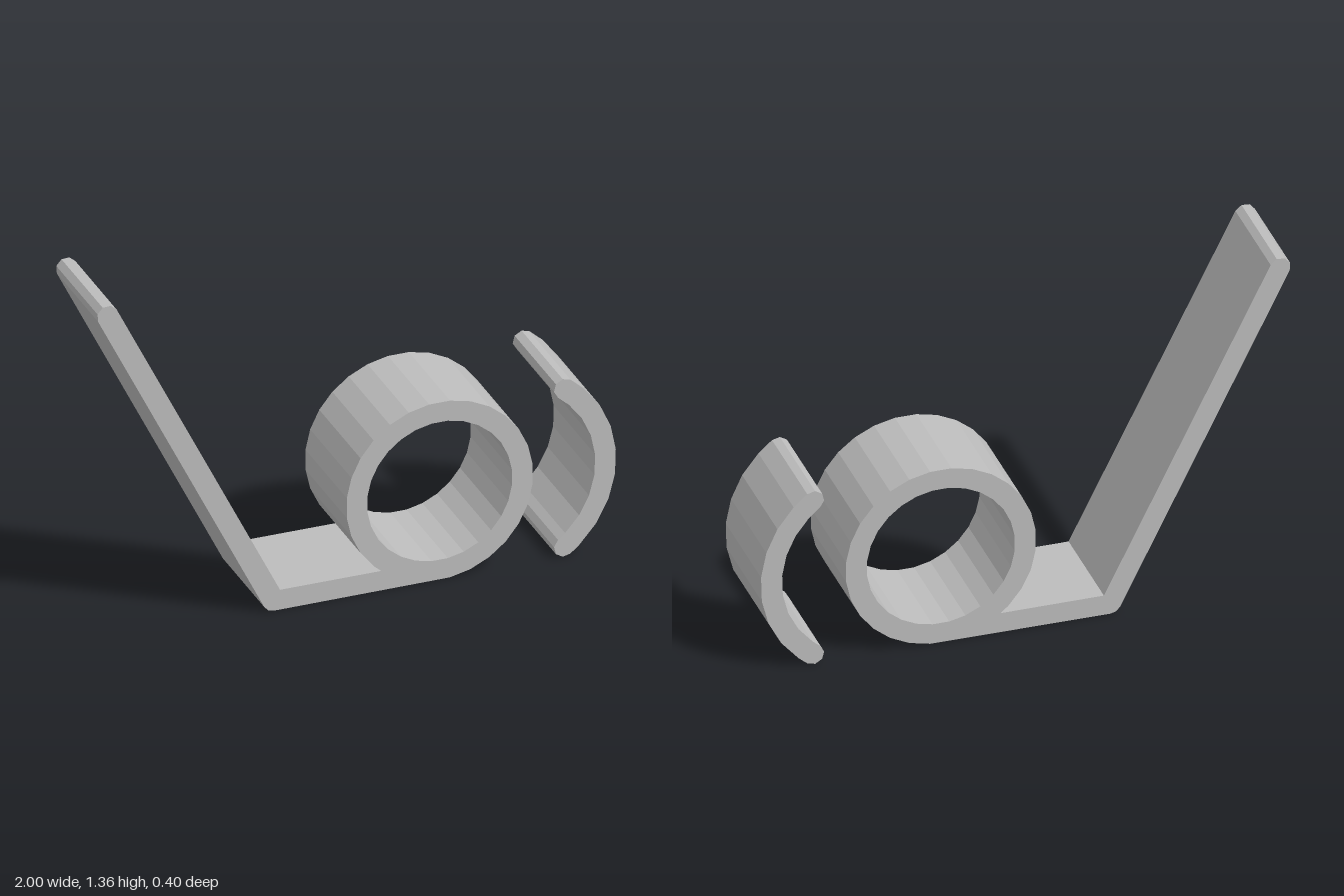
import * as THREE from 'three';

const DEPTH = 0.4;
const HALF = 0.04; // half the wall thickness
const STEP = 360 / 28; // facet angle of the ring

// points along an arc, angles in degrees, both ends included
function arc(cx, cy, r, from, to, n) {
  return Array.from({ length: n + 1 }, (_, i) => {
    const a = THREE.MathUtils.degToRad(from + ((to - from) * i) / n);
    return new THREE.Vector2(cx + r * Math.cos(a), cy + r * Math.sin(a));
  });
}

// constant-depth plate from a closed outline
function plate(name, outline, material, holes = []) {
  const shape = new THREE.Shape(outline);
  for (const h of holes) shape.holes.push(new THREE.Path(h));
  const geometry = new THREE.ExtrudeGeometry(shape, { depth: DEPTH, bevelEnabled: false });
  geometry.translate(0, 0, -DEPTH / 2);
  const mesh = new THREE.Mesh(geometry, material);
  mesh.name = name;
  return mesh;
}

export function createModel() {
  const group = new THREE.Group();
  group.name = 'ringBracket';
  const grey = new THREE.MeshStandardMaterial({ color: 0xbcbcbc, flatShading: true });
  grey.name = 'plain grey';

  // leaning arm, base strip and ring in one outline
  const lean = THREE.MathUtils.radToDeg(Math.atan2(1, 2)); // direction of the arm's right-hand side
  const first = -90 + STEP / 2;
  const body = [
    ...arc(-0.32, 0.04, HALF, 180 + lean, 270, 2), // outer corner
    ...arc(0.32, 0.36, 0.36, first, first + 24 * STEP, 24), // ring outside
    new THREE.Vector2(0.095, 0.08), // ring meets strip
    new THREE.Vector2(-0.295, 0.08), // inner corner
    ...arc(-0.96, 1.32, HALF, lean, 180 + lean, 4), // rounded tip
  ];
  const bore = arc(0.32, 0.36, 0.28, first, first + 27 * STEP, 27).reverse();
  group.add(plate('armBaseAndRing', body, grey, [bore]));

  // separate curved clip with rounded ends
  const cx = 0.56, cy = 0.36, end = 53.13;
  const clip = [
    ...arc(cx, cy, 0.44, -47.5, 44.2, 7), // outer face
    ...arc(0.8, 0.68, HALF, end, end + 180, 4), // top end
    ...arc(cx, cy, 0.36, 44.2, -47.5, 7), // inner face
    ...arc(0.8, 0.04, HALF, 180 - end, 360 - end, 4), // bottom end
  ];
  group.add(plate('curvedClip', clip, grey));

  return group;
}
